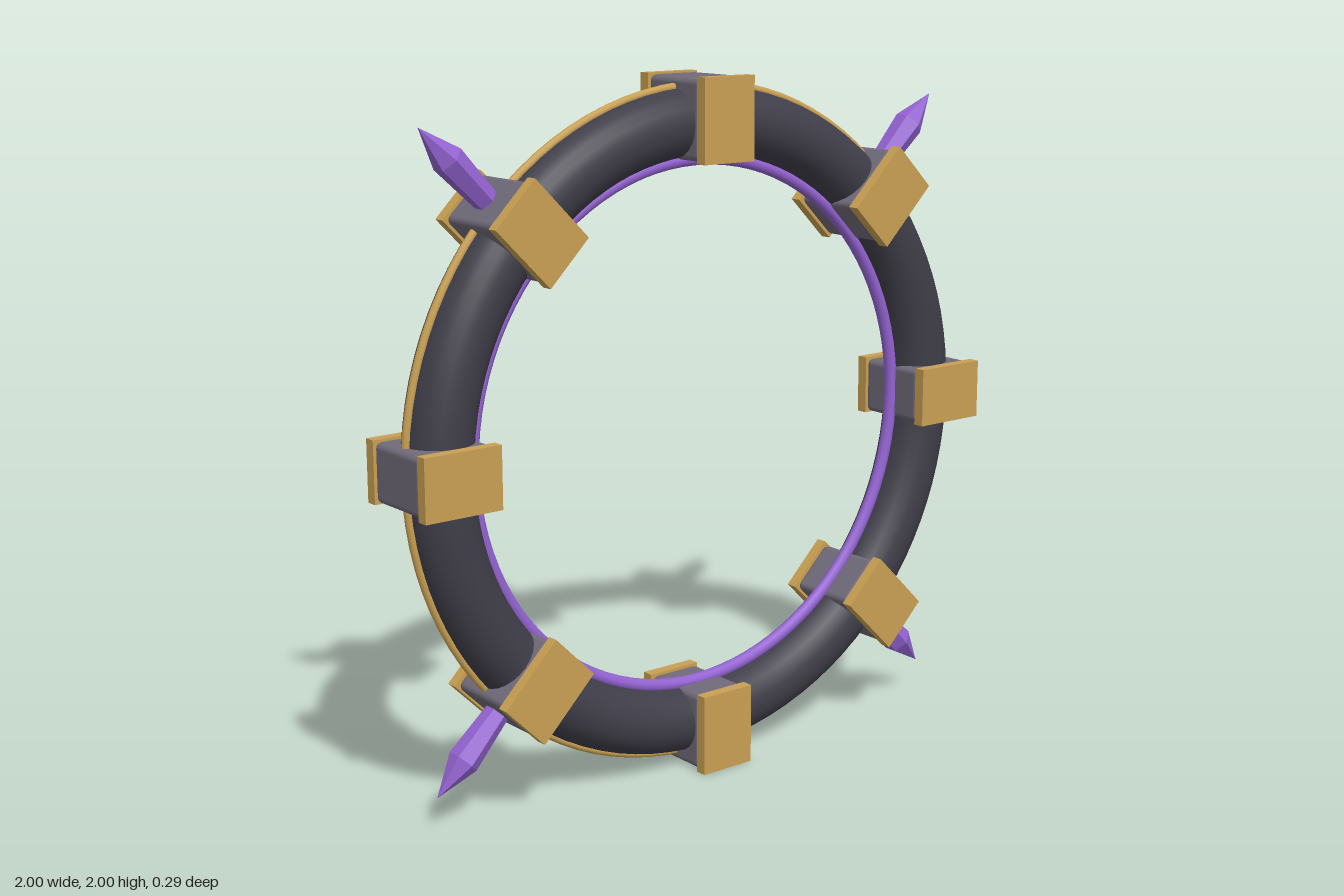
import * as THREE from 'three';
import { RoundedBoxGeometry } from 'three/addons/geometries/RoundedBoxGeometry.js';

export function createModel() {
  const material = (name, color, flatShading = false) => {
    const m = new THREE.MeshStandardMaterial({ color, flatShading });
    m.name = name;
    return m;
  };
  const darkStone = material('dark stone', 0x3f3e49);
  const greyStone = material('grey stone', 0x716b7a);
  const gold = material('gold', 0xc9a053);
  const crystal = material('purple crystal', 0x9463d2, true);
  const glow = material('purple inlay', 0x9463d2);

  const model = new THREE.Group();
  model.name = 'ringPortal';
  const ring = new THREE.Group();
  ring.name = 'ring';
  ring.position.y = 1;
  model.add(ring);

  const add = (parent, name, geometry, mat, x = 0, y = 0, z = 0) => {
    const mesh = new THREE.Mesh(geometry, mat);
    mesh.name = name;
    mesh.position.set(x, y, z);
    parent.add(mesh);
    return mesh;
  };

  // Main ring with a gold rim outside and a purple inlay inside
  add(ring, 'mainRing', new THREE.TorusGeometry(0.872, 0.096, 24, 96), darkStone);
  add(ring, 'outerRim', new THREE.TorusGeometry(0.97, 0.012, 10, 96), gold);
  add(ring, 'innerInlay', new THREE.TorusGeometry(0.766, 0.019, 10, 96), glow);

  // Eight clamps; local +y points away from the ring's centre
  const blockGeometry = new RoundedBoxGeometry(0.166, 0.228, 0.225, 3, 0.018);
  const plateGeometry = new THREE.BoxGeometry(0.175, 0.236, 0.034);

  // Six-sided crystal: tapered shaft and pointed tip
  const shaftGeometry = new THREE.CylinderGeometry(0.045, 0.033, 0.2, 6, 1, true);
  const tipGeometry = new THREE.ConeGeometry(0.045, 0.121, 6, 1, true);

  for (let i = 0; i < 8; i++) {
    const clamp = new THREE.Group();
    clamp.name = 'clamp' + (i + 1);
    clamp.rotation.z = (i * Math.PI) / 4;
    ring.add(clamp);
    add(clamp, 'clampBlock', blockGeometry, greyStone, 0, 0.882, 0);
    add(clamp, 'frontPlate', plateGeometry, gold, 0, 0.882, 0.126);
    add(clamp, 'backPlate', plateGeometry, gold, 0, 0.882, -0.126);

    // Crystals stand on the diagonal clamps
    if (i % 2) {
      add(clamp, 'crystalShaft', shaftGeometry, crystal, 0, 1.056, 0);
      add(clamp, 'crystalTip', tipGeometry, crystal, 0, 1.2165, 0);
    }
  }
  return model;
}
